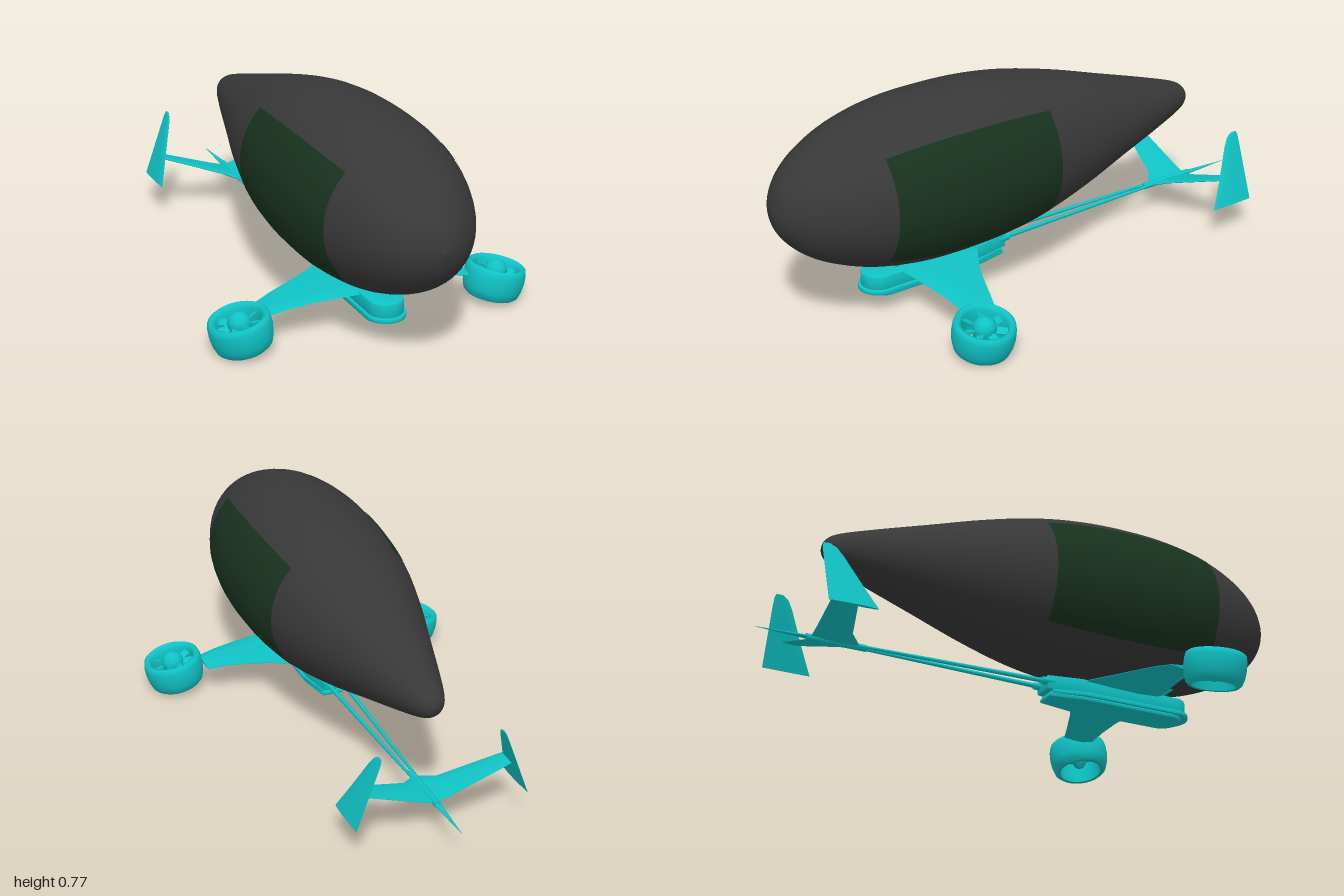
import * as THREE from 'three';
import { toCreasedNormals } from 'three/addons/utils/BufferGeometryUtils.js';

const mat = (color) => new THREE.MeshStandardMaterial({ color });
const V2 = (a) => a.map(([x, y]) => new THREE.Vector2(x, y));

function part(parent, name, geometry, material) {
  const m = new THREE.Mesh(geometry, material);
  m.name = name;
  parent.add(m);
  return m;
}

// Airfoil blade lofted through stations [x, y, zLeading, zTrailing, thickness]
function foil(stations) {
  const outline = [[0, 0], [0.06, 0.28], [0.3, 0.5], [0.65, 0.35], [1, 0.06], [1, -0.06], [0.65, -0.35], [0.3, -0.5], [0.06, -0.28]];
  const n = outline.length, pos = [], idx = [];
  stations.forEach(([x, y, zl, zt, th], i) => {
    const a = stations[Math.max(i - 1, 0)], b = stations[Math.min(i + 1, stations.length - 1)];
    const dx = b[0] - a[0], dy = b[1] - a[1], l = Math.hypot(dx, dy);
    for (const [c, t] of outline) pos.push(x - dy / l * t * th, y + dx / l * t * th, zl + (zt - zl) * c);
  });
  for (let i = 0; i < stations.length - 1; i++)
    for (let j = 0; j < n; j++) {
      const a = i * n + j, b = i * n + (j + 1) % n;
      idx.push(a, a + n, b, b, a + n, b + n);
    }
  const e = (stations.length - 1) * n;
  for (let j = 1; j < n - 1; j++) idx.push(0, j, j + 1, e, e + j + 1, e + j);
  const g = new THREE.BufferGeometry();
  g.setAttribute('position', new THREE.Float32BufferAttribute(pos, 3));
  g.setIndex(idx);
  return toCreasedNormals(g, 0.7);
}

// Flat deck with a round front and a narrower rear
function deck(w, zFront, zBack, y0, y1, bevel = 0.006) {
  const r = w - bevel, f = zFront - bevel, b = zBack + bevel, s = new THREE.Shape();
  s.moveTo(r * 0.6, -b);
  s.lineTo(r, -b - 0.12);
  s.lineTo(r, -f + r);
  s.absarc(0, -f + r, r, 0, -Math.PI, true);
  s.lineTo(-r, -b - 0.12);
  s.lineTo(-r * 0.6, -b);
  s.closePath();
  const g = new THREE.ExtrudeGeometry(s, { depth: y1 - y0 - 2 * bevel, bevelSize: bevel, bevelThickness: bevel, bevelSegments: 2, curveSegments: 16 });
  g.rotateX(-Math.PI / 2).translate(0, y0 + bevel, 0);
  return toCreasedNormals(g, 0.6);
}

// Tapered rod between two points
function rod(a, b, ra, rb) {
  const A = new THREE.Vector3(...a), d = new THREE.Vector3(...b).sub(A), len = d.length();
  const g = new THREE.CylinderGeometry(rb, ra, len, 12).translate(0, len / 2, 0);
  g.applyQuaternion(new THREE.Quaternion().setFromUnitVectors(new THREE.Vector3(0, 1, 0), d.normalize()));
  return g.translate(A.x, A.y, A.z);
}

export function createModel() {
  const root = new THREE.Group();
  root.name = 'airship';
  const dark = mat(0x383838), green = mat(0x18321f), teal = mat(0x0fc2c4);

  // Teardrop envelope, profile as [radius, z] from tail to nose
  const ctrl = [[0, -0.782], [0.032, -0.768], [0.06, -0.725], [0.102, -0.6], [0.163, -0.4], [0.224, -0.2],
    [0.273, 0], [0.297, 0.18], [0.303, 0.35], [0.296, 0.51], [0.268, 0.67], [0.217, 0.81], [0.155, 0.91], [0.08, 0.975], [0, 1]];
  const per = 5;
  const profile = new THREE.SplineCurve(V2(ctrl)).getPoints((ctrl.length - 1) * per);
  profile.forEach((p) => { p.x = Math.max(p.x, 0); });
  part(root, 'envelope', new THREE.LatheGeometry(profile, 48).rotateX(Math.PI / 2).translate(0, 0.475, 0), dark);

  // Side panels lying on the envelope
  const band = profile.slice(6 * per, 10 * per + 1).map((p) => new THREE.Vector2(p.x + 0.0015, p.y));
  for (const [name, start] of [['leftPanel', 0.25], ['rightPanel', 1.25]])
    part(root, name, new THREE.LatheGeometry(band, 12, start * Math.PI, Math.PI / 2).rotateX(Math.PI / 2).translate(0, 0.475, 0), green);

  // Gondola: cabin, rim and belly
  const gondola = new THREE.Group();
  gondola.name = 'gondola';
  root.add(gondola);
  part(gondola, 'cabin', deck(0.063, 0.66, 0.08, 0.098, 0.152), teal);
  part(gondola, 'rim', deck(0.071, 0.67, 0.1, 0.084, 0.101, 0.004), teal);
  part(gondola, 'belly', deck(0.064, 0.64, 0.09, 0.07, 0.09, 0.009), teal);

  // Pylon flaring up to the envelope
  const pylon = new THREE.BoxGeometry(1, 0.05, 1);
  const p = pylon.attributes.position;
  for (let i = 0; i < p.count; i++) {
    const top = p.getY(i) > 0;
    p.setX(i, p.getX(i) * (top ? 0.09 : 0.03));
    p.setZ(i, p.getZ(i) * (top ? 0.33 : 0.16));
  }
  pylon.translate(0, 0.165, 0.435);
  part(gondola, 'pylon', toCreasedNormals(pylon, 0.3), teal);

  // Tail spike
  part(root, 'tailSpike', rod([0, 0.13, -0.6], [0, 0.13, -0.82], 0.012, 0.012), teal);
  part(root, 'tailSpikeTip', rod([0, 0.13, -0.82], [0, 0.13, -1], 0.012, 0.0008).scale(1, 0.5, 1).translate(0, 0.065, 0), teal);

  for (const side of ['left', 'right']) {
    const half = new THREE.Group();
    half.name = side + 'Side';
    half.scale.x = side === 'left' ? 1 : -1;
    root.add(half);

    // Arched wing
    part(half, 'wing', foil([[0, 0.146, 0.54, 0.2, 0.018], [0.08, 0.145, 0.53, 0.23, 0.018], [0.16, 0.142, 0.52, 0.28, 0.017],
      [0.24, 0.137, 0.51, 0.32, 0.016], [0.32, 0.128, 0.502, 0.352, 0.016], [0.39, 0.114, 0.495, 0.378, 0.016]]), teal);

    // Tail boom and its mount
    part(half, 'boom', rod([0.03, 0.13, 0.14], [0.007, 0.13, -0.68], 0.009, 0.005), teal);
    part(half, 'boomMount', rod([0.035, 0.13, 0.2], [0.03, 0.13, 0.06], 0.016, 0.013), teal);

    // Raised tailplane and the canted fin on its tip
    part(half, 'tailplane', foil([[0, 0.128, -0.62, -0.805, 0.014], [0.06, 0.146, -0.675, -0.805, 0.011], [0.275, 0.222, -0.735, -0.81, 0.008]]), teal);
    part(half, 'fin', foil([[0.312, 0.128, -0.685, -0.862, 0.009], [0.28, 0.217, -0.732, -0.862, 0.009], [0.238, 0.334, -0.79, -0.862, 0.008],
      [0.228, 0.362, -0.808, -0.861, 0.007], [0.223, 0.376, -0.83, -0.856, 0.005]]), teal);

    // Ducted fan leaning outwards
    const fan = new THREE.Group();
    fan.name = 'ductedFan';
    fan.position.set(0.487, 0.08, 0.492);
    fan.rotation.z = -0.21;
    half.add(fan);
    const duct = V2([[0.077, -0.058], [0.088, -0.059], [0.098, -0.05], [0.106, -0.025], [0.11, 0.005], [0.109, 0.035],
      [0.105, 0.052], [0.097, 0.058], [0.087, 0.054], [0.08, 0.04], [0.077, 0.01], [0.077, -0.058]]);
    part(fan, 'duct', toCreasedNormals(new THREE.LatheGeometry(duct, 40), 0.8), teal);
    const hub = V2([[0, -0.045], [0.018, -0.035], [0.034, -0.005], [0.042, 0.03], [0.038, 0.05], [0.026, 0.064], [0.012, 0.071], [0, 0.073]]);
    part(fan, 'hub', new THREE.LatheGeometry(hub, 24), teal);
    for (let i = 0; i < 7; i++) {
      const blade = new THREE.BoxGeometry(0.05, 0.005, 0.026).rotateX(0.5).translate(0.056, 0.028, 0);
      part(fan, 'blade', blade.rotateY(i / 7 * Math.PI * 2), teal);
    }
  }
  return root;
}
